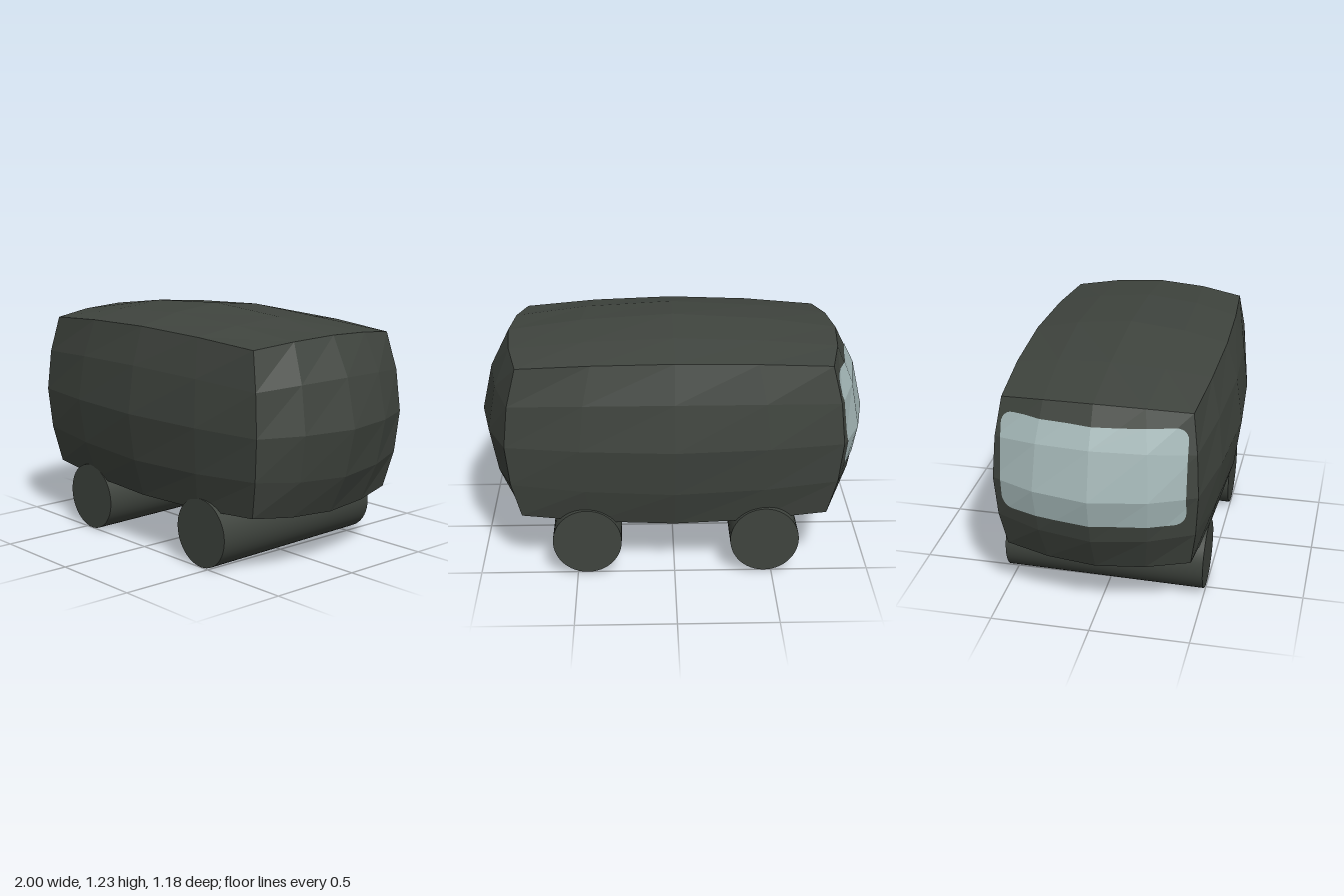
import * as THREE from 'three';

const dark = new THREE.MeshStandardMaterial({ color: 0x3f443e, flatShading: true });
dark.name = 'dark shell';
const darkSmooth = dark.clone();
darkSmooth.name = 'dark skid';
darkSmooth.flatShading = false;
const pale = new THREE.MeshStandardMaterial({ color: 0xa5b8b8, flatShading: true });
pale.name = 'pale glass';

const HALF = new THREE.Vector3(1, 0.517, 0.592);
const CENTRE_Y = 0.718;

// Box pulled part of the way towards a sphere, then stretched
function bodyGeometry() {
  const geo = new THREE.BoxGeometry(2, 2, 2, 4, 4, 4);
  const pos = geo.attributes.position;
  const p = new THREE.Vector3();
  for (let i = 0; i < pos.count; i++) {
    p.fromBufferAttribute(pos, i);
    p.lerp(p.clone().normalize(), 0.52).multiply(HALF);
    pos.setXYZ(i, p.x, p.y + CENTRE_Y, p.z);
  }
  geo.computeVertexNormals();
  return geo;
}

// Rounded rectangle in the (z, y) plane, counter-clockwise
function windowOutline(z0, z1, y0, y1, r) {
  const corners = [[z1 - r, y1 - r], [z0 + r, y1 - r], [z0 + r, y0 + r], [z1 - r, y0 + r]];
  const pts = [];
  corners.forEach(([z, y], k) => {
    for (let i = 0; i <= 6; i++) {
      const a = (k + i / 6) * Math.PI / 2;
      pts.push([z + r * Math.cos(a), y + r * Math.sin(a)]);
    }
  });
  return pts;
}

// Keep the part of a polygon on the left of the line a-b
function clip(poly, a, b) {
  const side = (p) => (b[0] - a[0]) * (p.y - a[1]) - (b[1] - a[1]) * (p.z - a[0]);
  const out = [];
  poly.forEach((p, i) => {
    const q = poly[(i + 1) % poly.length];
    const sp = side(p), sq = side(q);
    if (sp >= 0) out.push(p);
    if (sp * sq < 0) out.push(p.clone().lerp(q, sp / (sp - sq)));
  });
  return out;
}

// Window cut from the facets of the body's -x end, so it follows the bulge
function windowGeometry(body) {
  const outline = windowOutline(-0.458, 0.448, 0.572, 1.062, 0.06);
  const group = body.groups[1];
  const coords = [];
  for (let i = group.start; i < group.start + group.count; i += 3) {
    let poly = [0, 1, 2].map((k) =>
      new THREE.Vector3().fromBufferAttribute(body.attributes.position, body.index.getX(i + k)));
    outline.forEach((a, k) => { poly = clip(poly, a, outline[(k + 1) % outline.length]); });
    for (let k = 1; k + 1 < poly.length; k++) {
      for (const p of [poly[0], poly[k], poly[k + 1]]) coords.push(p.x - 0.004, p.y, p.z);
    }
  }
  const geo = new THREE.BufferGeometry();
  geo.setAttribute('position', new THREE.Float32BufferAttribute(coords, 3));
  geo.computeVertexNormals();
  return geo;
}

export function createModel() {
  const model = new THREE.Group();
  model.name = 'capsule';

  const add = (name, geo, mat) => {
    const mesh = new THREE.Mesh(geo, mat);
    mesh.name = name;
    model.add(mesh);
    return mesh;
  };

  const body = bodyGeometry();
  add('body', body, dark);
  add('endWindow', windowGeometry(body), pale);

  // Two rollers underneath, very slightly tilted
  const rollerGeo = new THREE.CylinderGeometry(0.176, 0.176, 1.025, 48).rotateX(Math.PI / 2);
  for (const [name, x] of [['rightRoller', -0.461], ['leftRoller', 0.448]]) {
    const roller = add(name, rollerGeo, darkSmooth);
    roller.position.set(x, 0.184, -0.0125);
    roller.rotation.x = 0.015;
  }
  return model;
}
